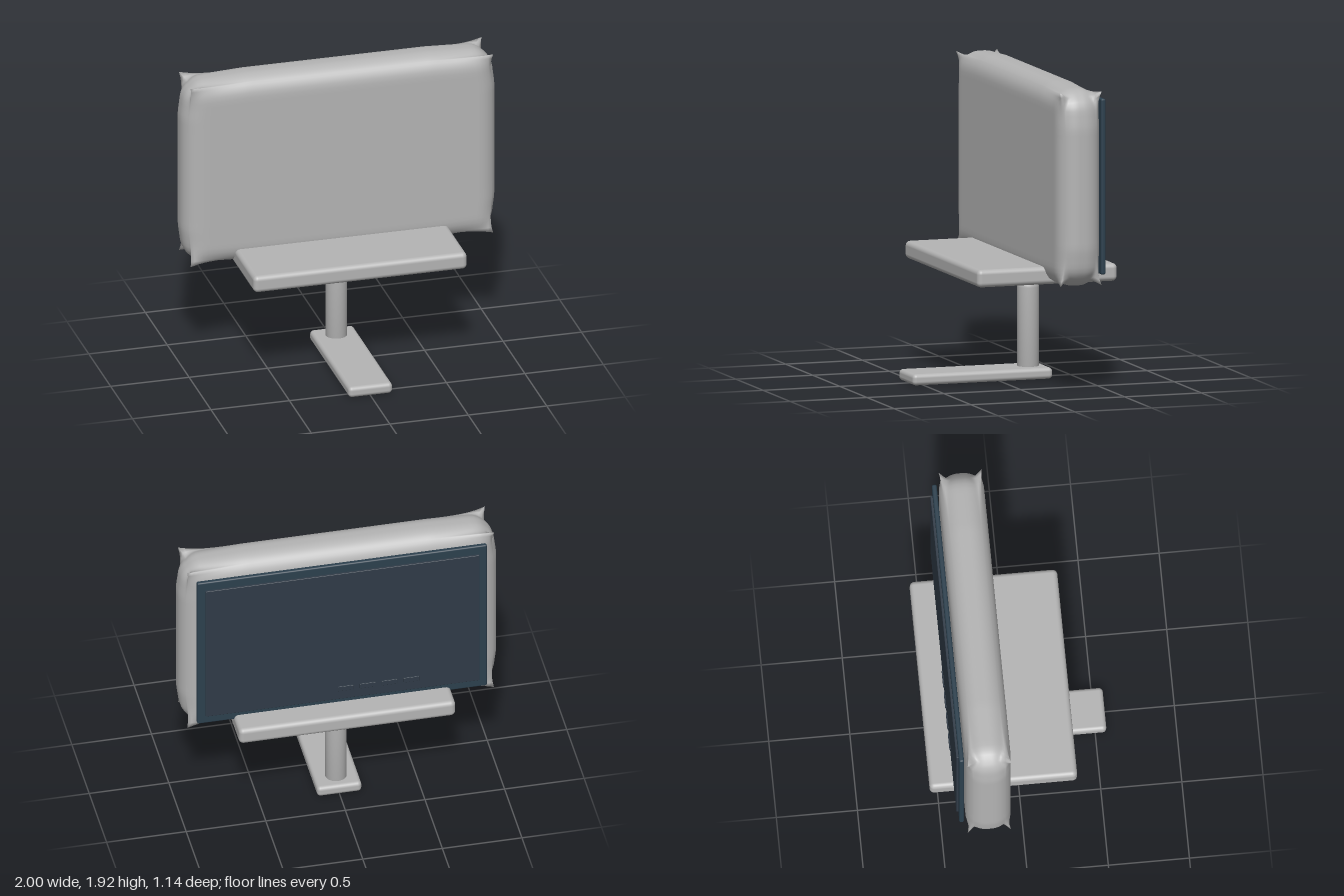
import * as THREE from 'three';
import { mergeVertices } from 'three/addons/utils/BufferGeometryUtils.js';
import { RoundedBoxGeometry } from 'three/addons/geometries/RoundedBoxGeometry.js';

const material = (name, color) => {
  const m = new THREE.MeshStandardMaterial({ color });
  m.name = name;
  return m;
};

// Box whose edges are rounded in the middle and sharpen towards slightly pulled-in corners
function cushionBox(hx, hy, hz, radius) {
  let geo = new THREE.BoxGeometry(2 * hx, 2 * hy, 2 * hz, 60, 40, 20);
  geo.deleteAttribute('uv');
  geo.deleteAttribute('normal');
  geo = mergeVertices(geo);
  const pos = geo.attributes.position;
  const p = new THREE.Vector3();
  const inner = new THREE.Vector3();
  for (let i = 0; i < pos.count; i++) {
    p.fromBufferAttribute(pos, i);
    const a = Math.abs(p.x) / hx, b = Math.abs(p.y) / hy, c = Math.abs(p.z) / hz;
    const r = radius * (1 - (a * b * c) ** 8) + 0.015;
    const limit = new THREE.Vector3(hx - r, hy - r, hz - r);
    inner.copy(p).clamp(limit.clone().negate(), limit);
    p.sub(inner).setLength(r).add(inner);
    p.x *= 1 - 0.03 * Math.max(0, (b - 0.62) / 0.38);
    p.y *= 1 - 0.03 * Math.max(0, (a - 0.6) / 0.4);
    pos.setXYZ(i, p.x, p.y, p.z);
  }
  geo.computeVertexNormals();
  return geo;
}

export function createModel() {
  const model = new THREE.Group();
  const grey = material('casing grey', 0xb4b4b4);
  const frameBlue = material('dark frame blue', 0x2c404e);
  const screenBlue = material('dark screen blue', 0x303b47);

  const add = (name, geo, mat, x, y, z) => {
    const mesh = new THREE.Mesh(geo, mat);
    mesh.name = name;
    mesh.position.set(x, y, z);
    model.add(mesh);
  };
  // Rounded box given by its limits on each axis
  const slab = (name, mat, [x0, x1], [y0, y1], [z0, z1], r) =>
    add(name, new RoundedBoxGeometry(x1 - x0, y1 - y0, z1 - z0, 4, r), mat,
      (x0 + x1) / 2, (y0 + y1) / 2, (z0 + z1) / 2);

  // Casing
  add('casing', cushionBox(1, 0.625, 0.14, 0.11), grey, 0, 1.295, -0.23);

  // Tray, post and foot
  slab('tray', grey, [-0.68, 0.68], [0.67, 0.78], [-0.57, 0.34], 0.03);
  slab('foot', grey, [-0.14, 0.14], [0, 0.07], [-0.34, 0.57], 0.025);
  const profile = [new THREE.Vector2(0, 0.04), new THREE.Vector2(0.067, 0.04)];
  for (let i = 0; i <= 6; i++) {
    const t = (i / 6) * Math.PI / 2;
    profile.push(new THREE.Vector2(0.017 + 0.05 * Math.cos(t), 0.56 + 0.05 * Math.sin(t)));
  }
  profile.push(new THREE.Vector2(0, 0.61));
  add('post', new THREE.LatheGeometry(profile, 32), grey, 0, 0, -0.225);

  // Screen panel on the back
  slab('screenFrame', frameBlue, [-0.91, 0.91], [0.75, 1.84], [-0.41, -0.38], 0.01);
  slab('screen', screenBlue, [-0.86, 0.86], [0.81, 1.78], [-0.424, -0.405], 0.004);

  // Row of buttons
  for (let i = 0; i < 4; i++) {
    const x = -0.48 + i * 0.137;
    slab('button', screenBlue, [x, x + 0.1], [0.875, 0.91], [-0.431, -0.42], 0.003);
  }
  return model;
}
